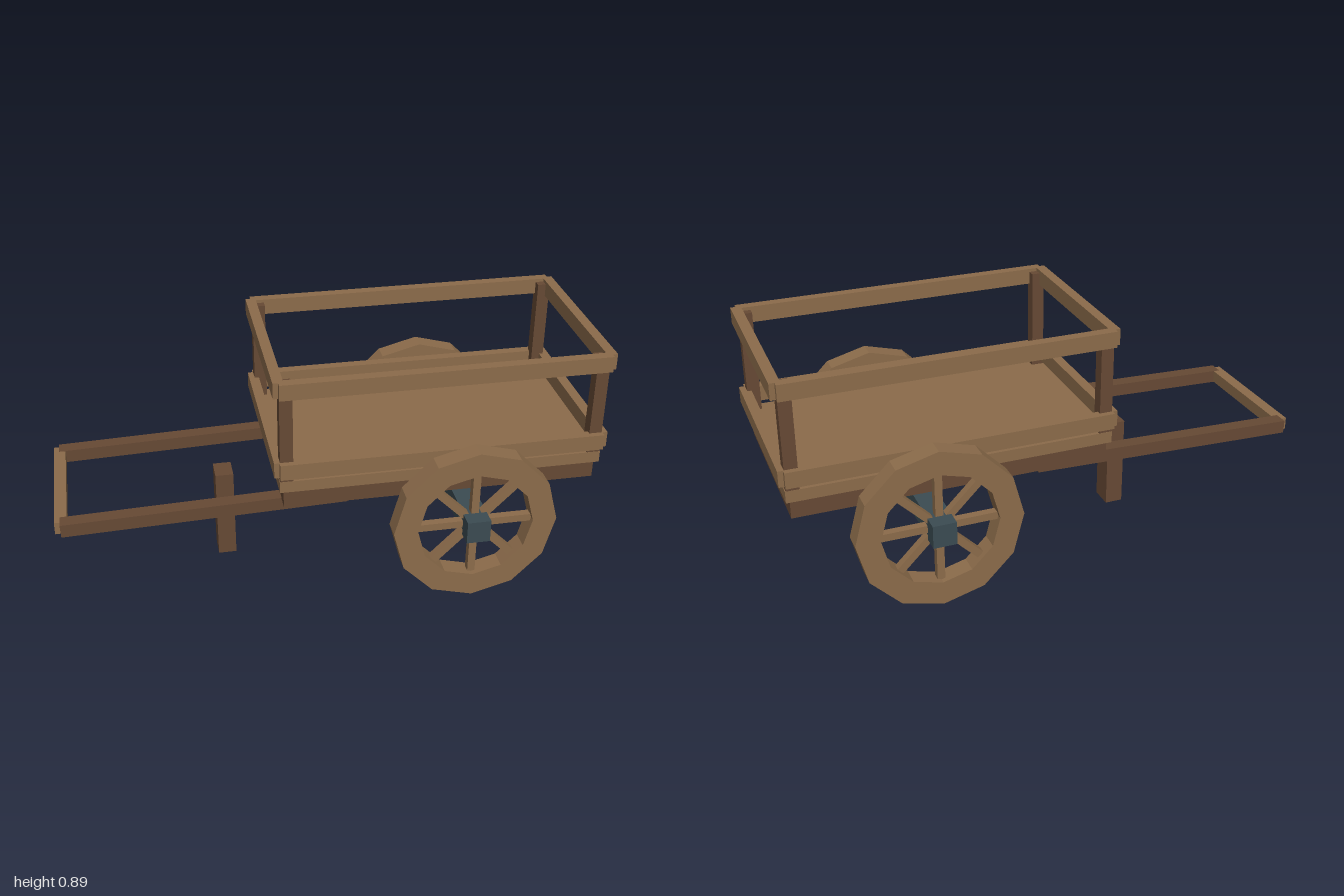
import * as THREE from 'three';

const mat = (name, color) => {
  const m = new THREE.MeshStandardMaterial({ color });
  m.name = name;
  return m;
};

export function createModel() {
  const wood = mat('lightWood', 0x8b6b4a);
  const dark = mat('darkWood', 0x664934);
  const iron = mat('darkIron', 0x3b4b52);
  const cart = new THREE.Group();
  cart.name = 'handcart';

  // Box given by its extents along each axis
  const box = (name, material, [x0, x1], [y0, y1], [z0, z1], parent = cart) => {
    const mesh = new THREE.Mesh(new THREE.BoxGeometry(x1 - x0, y1 - y0, z1 - z0), material);
    mesh.position.set((x0 + x1) / 2, (y0 + y1) / 2, (z0 + z1) / 2);
    mesh.name = name;
    parent.add(mesh);
    return mesh;
  };

  // Bed
  box('bedFrame', dark, [-0.19, 0.965], [0.378, 0.447], [-0.333, 0.333]);
  box('bedFloor', wood, [-0.205, 0.98], [0.447, 0.491], [-0.347, 0.347]);

  // Corner posts
  for (const x of [-0.203, 0.93])
    for (const z of [-0.346, 0.3])
      box('cornerPost', dark, [x, x + 0.047], [0.491, 0.875], [z, z + 0.046]);

  // Lower and upper rails
  for (const y of [0.511, 0.827]) {
    for (const z of [-0.368, 0.33]) box('sideRail', wood, [-0.205, 0.98], [y, y + 0.06], [z, z + 0.038]);
    for (const x of [-0.224, 0.961]) box('endRail', wood, [x, x + 0.038], [y, y + 0.06], [-0.348, 0.348]);
  }

  // Sloping shafts, crossbar and prop leg
  for (const z of [-0.2555, 0.2555]) {
    const shaft = box('shaft', dark, [-0.98, 0.052], [0.325, 0.375], [z - 0.0275, z + 0.0275]);
    shaft.rotation.z = 0.031;
  }
  box('handleBar', wood, [-1, -0.955], [0.312, 0.359], [-0.262, 0.262]);
  box('propLeg', dark, [-0.405, -0.337], [0, 0.353], [-0.045, 0.045]);

  // Axle
  const cx = 0.485, cy = 0.304;
  box('axle', iron, [cx - 0.04, cx + 0.04], [cy - 0.04, cy + 0.04], [-0.37, 0.37]);

  // Twelve-sided wheels with eight spokes and a square hub
  const ring = (r) => Array.from({ length: 12 }, (_, i) =>
    new THREE.Vector2(Math.cos(i * Math.PI / 6) * r, Math.sin(i * Math.PI / 6) * r));
  const rimShape = new THREE.Shape(ring(0.302));
  rimShape.holes.push(new THREE.Path(ring(0.213).reverse()));
  const rimGeo = new THREE.ExtrudeGeometry(rimShape, { depth: 0.072, bevelEnabled: false });
  rimGeo.translate(0, 0, -0.036);

  for (const side of [-1, 1]) {
    const wheel = new THREE.Group();
    wheel.name = side > 0 ? 'frontWheel' : 'backWheel';
    wheel.position.set(cx, cy, side * 0.436);
    const rim = new THREE.Mesh(rimGeo, wood);
    rim.name = 'rim';
    wheel.add(rim);
    for (let i = 0; i < 4; i++) {
      const spoke = box('spokePair', wood, [-0.215, 0.215], [-0.014, 0.014], [-0.015, 0.015], wheel);
      spoke.rotation.z = i * Math.PI / 4;
    }
    box('hub', iron, [-0.043, 0.043], [-0.043, 0.043], [-0.074, 0.074], wheel);
    cart.add(wheel);
  }

  return cart;
}
